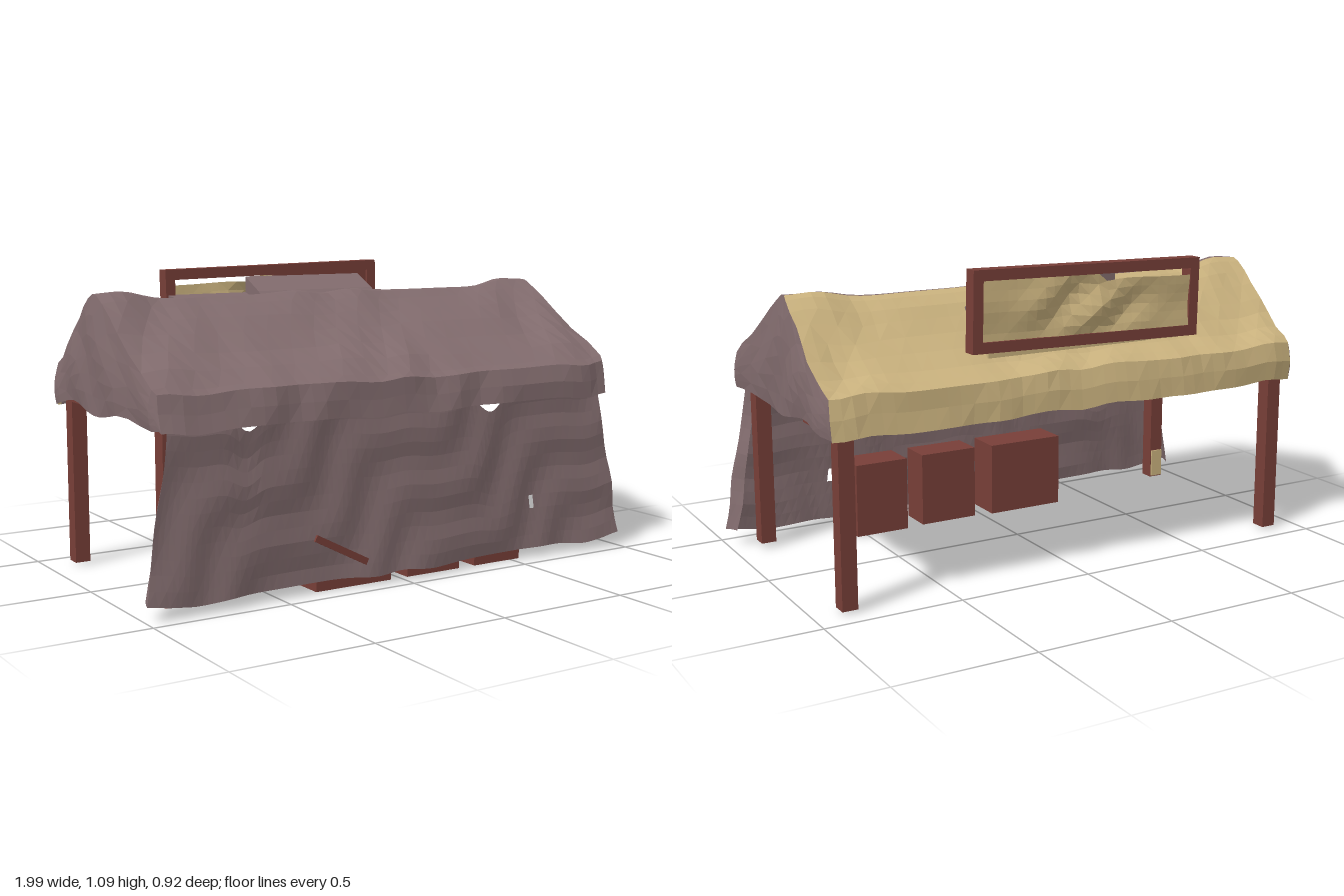
import * as THREE from 'three';

const cloth = new THREE.MeshStandardMaterial({ color: 0x826c6e, flatShading: true, side: THREE.DoubleSide });
cloth.name = 'mauve cloth';
const straw = new THREE.MeshStandardMaterial({ color: 0xcbb37f, flatShading: true, side: THREE.DoubleSide });
straw.name = 'tan cloth';
const wood = new THREE.MeshStandardMaterial({ color: 0x783f38, flatShading: true });
wood.name = 'red wood';

const clamp = THREE.MathUtils.clamp;
const ease = (v, a, b) => THREE.MathUtils.smoothstep(v, a, b);

// Irregular wrinkles that depend only on position, so neighbouring sheets stay joined
function crumple(p, amount) {
  const { x, y, z } = p;
  p.x += amount * 0.7 * Math.sin(19 * y + 23 * z + 5 * x);
  p.y += amount * Math.sin(13 * x + 17 * z + 2 * Math.sin(7 * x));
  p.z += amount * Math.sin(15 * x - 21 * y + 2 * Math.sin(9 * x + 6 * y));
  return p;
}

// Sheet of cloth from a rule point(u, v), u and v in 0..1; skip(u, v) leaves tears
function sheet(name, point, nu, nv, material, amount = 0.006, skip = () => false) {
  const pos = [], index = [];
  for (let j = 0; j <= nv; j++) for (let i = 0; i <= nu; i++) {
    const p = crumple(point(i / nu, j / nv), amount);
    pos.push(p.x, p.y, p.z);
  }
  for (let j = 0; j < nv; j++) for (let i = 0; i < nu; i++) {
    if (skip((i + 0.5) / nu, (j + 0.5) / nv)) continue;
    const a = j * (nu + 1) + i, c = a + nu + 1;
    if ((i * 7 + j * 3) % 2) index.push(a, c, a + 1, a + 1, c, c + 1);
    else index.push(a, c, c + 1, a, c + 1, a + 1);
  }
  const indexed = new THREE.BufferGeometry();
  indexed.setAttribute('position', new THREE.Float32BufferAttribute(pos, 3));
  indexed.setIndex(index);
  const geo = indexed.toNonIndexed();
  geo.computeVertexNormals();
  const mesh = new THREE.Mesh(geo, material);
  mesh.name = name;
  return mesh;
}

function box(name, x0, x1, y0, y1, z0, z1, material = wood) {
  const mesh = new THREE.Mesh(new THREE.BoxGeometry(x1 - x0, y1 - y0, z1 - z0), material);
  mesh.position.set((x0 + x1) / 2, (y0 + y1) / 2, (z0 + z1) / 2);
  mesh.name = name;
  return mesh;
}

// Cross-section of [z, y] points swept along x
function prism(name, zy, x0, x1, material) {
  const shape = new THREE.Shape(zy.map(([z, y]) => new THREE.Vector2(z, y)));
  const geo = new THREE.ExtrudeGeometry(shape, { depth: x1 - x0, bevelEnabled: false });
  geo.rotateY(-Math.PI / 2).translate(x1, 0, 0);
  const mesh = new THREE.Mesh(geo, material);
  mesh.name = name;
  return mesh;
}

// Roof profiles [z, y] from valance hem up to the ridge
const FRONT = [[0.452, 0.6], [0.443, 0.66], [0.43, 0.72], [0.4, 0.737], [0.325, 0.785], [0.23, 0.83],
  [0.136, 0.88], [0.06, 0.925], [-0.01, 0.968], [-0.055, 0.995], [-0.085, 0.998]];
const BACK = [[-0.457, 0.6], [-0.453, 0.67], [-0.44, 0.735], [-0.4, 0.753], [-0.35, 0.773], [-0.29, 0.815],
  [-0.24, 0.86], [-0.19, 0.91], [-0.15, 0.952], [-0.11, 0.985], [-0.085, 0.998]];

function roofPoint(profile, u, v, inset = 0) {
  const k = Math.round(v * (profile.length - 1));
  const [z, y] = profile[k];
  const s = 2 * u - 1;
  const half = 0.936 + 0.01 * clamp((1 - y) / 0.28, 0, 1);
  const lift = 0.024 * ease(Math.abs(s), 0.7, 0.97) * clamp((y - 0.7) / 0.3, 0, 1);
  // Corners of the valance are rounded off
  const round = ease(Math.abs(s), 0.9, 1) * ease(Math.abs(z), 0.38, 0.45);
  return new THREE.Vector3(s * (half - inset - 0.016 * round), y + lift - (k > 1 ? inset : 0), z * (1 - inset - 0.035 * round));
}

function canopy() {
  const g = new THREE.Group();
  g.name = 'canopy';
  const n = FRONT.length - 1;
  g.add(sheet('frontRoof', (u, v) => roofPoint(FRONT, u, v), 40, n, cloth));
  g.add(sheet('backRoof', (u, v) => roofPoint(BACK, 1 - u, v), 40, n, straw));
  g.add(sheet('backLining', (u, v) => roofPoint(BACK, u, v, 0.012), 40, n, cloth));
  // Gable walls hang from the roof ends and belly outward
  const rim = [...FRONT, ...BACK.slice(0, -1).reverse()];
  for (const side of [0, 1]) {
    g.add(sheet(side ? 'leftGable' : 'rightGable', (u, v) => {
      const p = roofPoint(rim, side, u);
      const hem = Math.min(p.y, 0.618 - 0.012 * Math.cos(p.z * 14));
      p.y += (hem - p.y) * v;
      p.x += (side ? 1 : -1) * 0.02 * Math.sin(Math.PI * 0.8 * v) * Math.sin(Math.PI * u);
      return p;
    }, rim.length - 1, 6, cloth));
  }
  return g;
}

// Front curtain: flares toward its hem, wraps back at both ends, gapes at the top and has one tear
function curtain() {
  return sheet('frontCurtain', (u, v) => {
    const s = 2 * u - 1, a = Math.abs(s);
    const wrap = clamp((a - 0.93) / 0.07, 0, 1);
    const gape = Math.exp(-(((s - 0.4) / 0.065) ** 2)) + 0.85 * Math.exp(-(((s + 0.63) / 0.055) ** 2));
    const top = 0.64 - 0.07 * gape, hem = 0.04 + 0.022 * ease(a, 0.84, 0.95);
    return new THREE.Vector3(
      Math.sign(s) * (Math.min(a, 0.93) / 0.93 * (0.9 + 0.1 * v) - 0.03 * wrap),
      top + (hem - top) * v,
      0.423 + v * (0.022 + 0.011 * Math.cos(7.6 * (s - 0.08))) - (0.03 + 0.03 * v) * wrap);
  }, 112, 12, cloth, 0.005, (u, v) => Math.abs(u - 0.781) < 0.005 && v > 0.64 && v < 0.77);
}

function sign() {
  const g = new THREE.Group();
  g.name = 'sign';
  // Tilted wooden frame around a crumpled panel
  const board = new THREE.Group();
  board.name = 'signBoard';
  board.position.set(-0.075, 0.945, -0.355);
  board.rotation.z = 0.02;
  const w = 0.463, h = 0.142, t = 0.038, d = 0.026;
  for (const s of [-1, 1]) {
    const y = s * (h - t / 2), x = s * (w - t / 2);
    board.add(box('frameRail', -w, w, y - t / 2, y + t / 2, -d, d));
    board.add(box('framePost', x - t / 2, x + t / 2, -h + t, h - t, -d, d));
  }
  board.add(sheet('signPanel', (u, v) => {
    const x = (2 * u - 1) * (w - 0.03);
    const top = x < -0.05 ? 0.08 : 0.108;
    const middle = Math.exp(-((x / 0.22) ** 2));
    const dent = 0.02 * middle * Math.sin(Math.PI * v) * Math.sin(22 * x + 5 * v);
    return new THREE.Vector3(x, -0.112 + (top + 0.112) * v, -0.02 - dent);
  }, 24, 6, straw, 0.004));
  // Wooden facing on the front of the panel
  board.add(box('signFacing', 0.0, 0.43, -0.11, 0.11, 0.005, 0.014));
  g.add(board);
  // Draped cloth between the board and the ridge
  g.add(prism('drapeHigh', [[-0.342, 1.045], [-0.24, 0.994], [-0.154, 0.92], [-0.19, 0.89], [-0.342, 0.9]], -0.2, 0.31, cloth));
  g.add(prism('drapeLow', [[-0.342, 0.985], [-0.25, 0.975], [-0.154, 0.935], [-0.19, 0.89], [-0.342, 0.9]], -0.53, -0.35, cloth));
  g.add(prism('drapeFold', [[-0.342, 0.985], [-0.21, 0.95], [-0.21, 0.89], [-0.342, 0.9]], -0.35, -0.2, cloth));
  g.add(prism('drapeUnderside', [[-0.342, 0.9], [-0.24, 0.893], [-0.335, 0.785], [-0.342, 0.785]], -0.48, 0.31, straw));
  return g;
}

function woodwork() {
  const g = new THREE.Group();
  g.name = 'woodwork';
  for (const s of [-1, 1]) {
    const x = s * 0.875;
    g.add(box('frontPost', x - 0.028, x + 0.028, 0.025, 0.68, 0.328, 0.384));
    g.add(box('backPost', x - 0.028, x + 0.028, 0.015, 0.7, -0.424, -0.368));
  }
  // Side beams inside the gables
  g.add(box('leftSideBeam', 0.908, 0.93, 0.612, 0.65, -0.38, -0.2));
  g.add(box('leftSideBeam', 0.908, 0.93, 0.618, 0.65, 0.1, 0.34));
  g.add(box('rightSideBeam', -0.932, -0.92, 0.622, 0.685, -0.38, 0.34));
  g.add(box('postPatch', -0.9, -0.85, 0.03, 0.14, 0.322, 0.328, straw));
  g.add(box('frontBeam', -0.18, 0.13, 0.625, 0.675, 0.385, 0.405));
  // Wood showing through a slanted slit in the curtain
  const slit = box('curtainSlit', -0.38, -0.14, 0.133, 0.157, 0.435, 0.444);
  slit.rotation.z = -0.48;
  g.add(slit);
  // Crates behind the curtain: x range and back depth
  for (const [x0, x1, z] of [[-0.35, -0.04, 0.272], [0.03, 0.26, 0.285], [0.33, 0.54, 0.275]]) {
    g.add(box('crate', x0, x1, 0.005, 0.285, z, 0.415));
  }
  return g;
}

export function createModel() {
  const model = new THREE.Group();
  model.name = 'marketStall';
  model.add(canopy(), curtain(), sign(), woodwork());
  return model;
}
